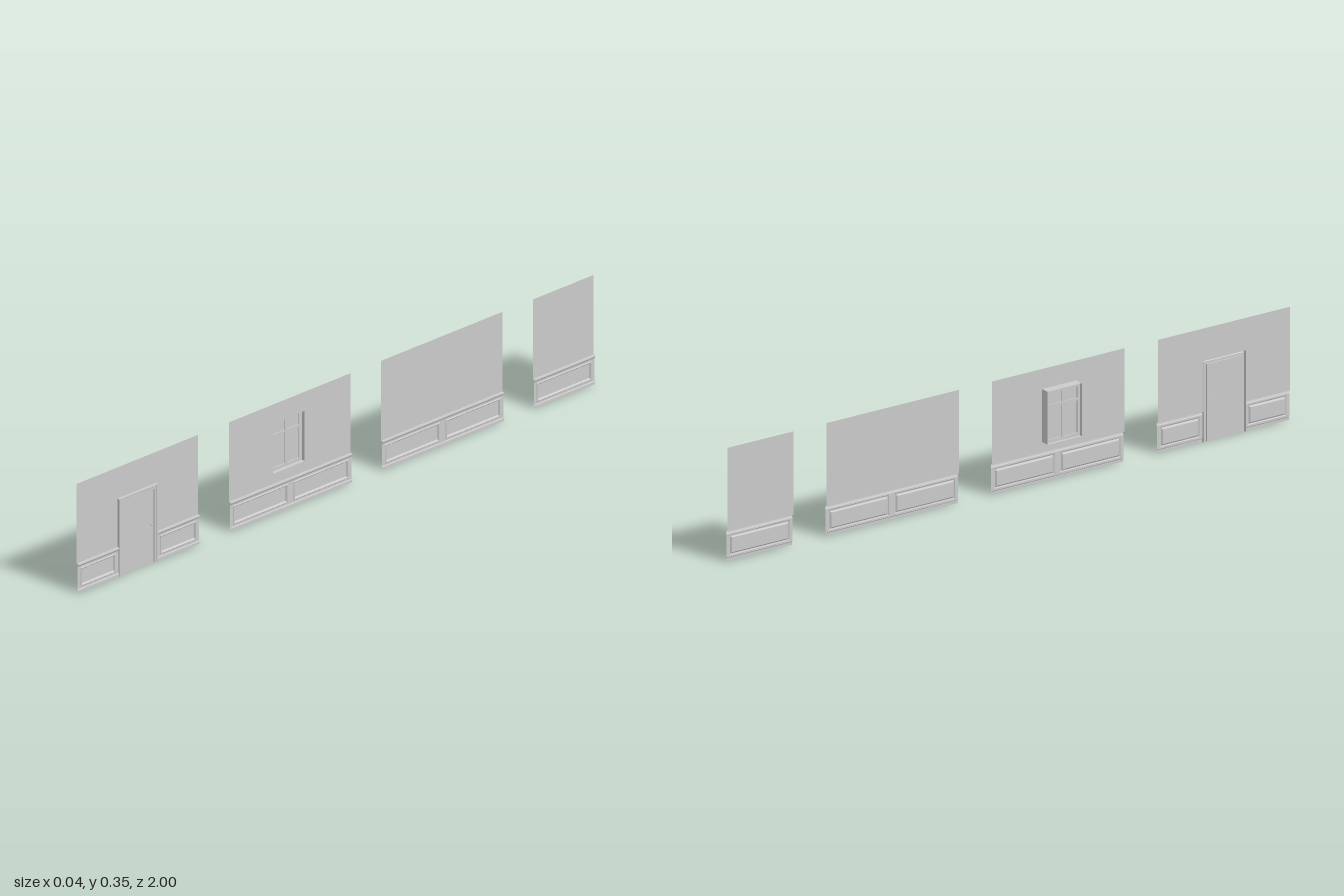
import * as THREE from 'three';

const mat = new THREE.MeshStandardMaterial({ color: 0xcccccc, side: THREE.DoubleSide, flatShading: true });
const WALL_X = 0.006, WALL_TOP = 0.353, DADO = 0.094, FACE_X = 0.0105;
const DOOR = [0.692, 0.842, 0, 0.252];
const WINDOW = [0.118, 0.24, 0.127, 0.291];

function add(parent, name, geometry, x = 0, y = 0, z = 0) {
  const mesh = new THREE.Mesh(geometry, mat);
  mesh.name = name;
  mesh.position.set(x, y, z);
  parent.add(mesh);
  return mesh;
}

// rectangles are [z0, z1, y0, y1]
function trace(path, [z0, z1, y0, y1]) {
  path.moveTo(-z1, y0);
  path.lineTo(-z0, y0);
  path.lineTo(-z0, y1);
  path.lineTo(-z1, y1);
  path.closePath();
  return path;
}

// flat sheet facing +x, with optional rectangular holes
function sheet(parent, name, rect, x, holes = []) {
  const shape = trace(new THREE.Shape(), rect);
  for (const h of holes) shape.holes.push(trace(new THREE.Path(), h));
  return add(parent, name, new THREE.ShapeGeometry(shape).rotateY(Math.PI / 2), x);
}

function quads(list) {
  const pos = [];
  for (const [a, b, c, d] of list) pos.push(...a, ...b, ...c, ...a, ...c, ...d);
  const g = new THREE.BufferGeometry();
  g.setAttribute('position', new THREE.Float32BufferAttribute(pos, 3));
  g.computeVertexNormals();
  return g;
}

// mitred moulding around a rectangle; steps are [inset, x]; three sides leave the bottom open
function moulding(parent, name, [z0, z1, y0, y1], steps, sides = 4) {
  const rings = steps.map(([i, x]) => {
    const yb = sides === 3 ? y0 : y0 + i;
    return [[x, yb, z0 + i], [x, y1 - i, z0 + i], [x, y1 - i, z1 - i], [x, yb, z1 - i]];
  });
  const list = [];
  for (let r = 0; r + 1 < rings.length; r++) {
    for (let s = 0; s < sides; s++) {
      const t = (s + 1) % 4;
      list.push([rings[r][s], rings[r][t], rings[r + 1][t], rings[r + 1][s]]);
    }
  }
  return add(parent, name, quads(list));
}

// straight strip along z from an [x, y] profile running top to bottom
function strip(parent, name, z0, z1, profile) {
  const list = [];
  for (let i = 0; i + 1 < profile.length; i++) {
    const [a, b] = [profile[i], profile[i + 1]];
    list.push([[...a, z1], [...b, z1], [...b, z0], [...a, z0]]);
  }
  return add(parent, name, quads(list));
}

// wainscot run: chair rail, face with panels, base
function wainscot(parent, z0, z1, count) {
  const g = new THREE.Group();
  g.name = 'wainscot';
  parent.add(g);
  strip(g, 'chairRail', z0, z1, [[WALL_X, DADO], [0.0125, DADO], [0.0135, 0.091], [0.0125, 0.087], [FACE_X, 0.084]]);
  strip(g, 'baseboard', z0, z1, [[FACE_X, 0.011], [0.0125, 0.009], [0.0125, 0]]);
  const pitch = (z1 - z0) / count, panels = [];
  for (let i = 0; i < count; i++) {
    const p = [z0 + i * pitch + 0.011, z0 + (i + 1) * pitch - 0.011, 0.017, 0.079];
    panels.push(p);
    moulding(g, 'panelMoulding', p, [[0, FACE_X], [0.002, 0.0125], [0.004, 0.0125], [0.008, 0.008], [0.011, 0.008]]);
    sheet(g, 'panel', [p[0] + 0.011, p[1] - 0.011, p[2] + 0.011, p[3] - 0.011], 0.008);
  }
  sheet(g, 'wainscotFace', [z0, z1, 0.011, 0.084], FACE_X, panels);
}

function buildDoor(parent) {
  const g = new THREE.Group();
  g.name = 'door';
  parent.add(g);
  moulding(g, 'doorFrame', DOOR,
    [[0, WALL_X], [0, 0.0145], [0.004, 0.0145], [0.006, 0.012], [0.013, 0.012], [0.013, 0.008]], 3);
  sheet(g, 'doorLeaf', [DOOR[0] + 0.013, DOOR[1] - 0.013, 0, DOOR[3] - 0.013], 0.008);
  const neck = new THREE.CylinderGeometry(0.0015, 0.0015, 0.01, 10).rotateZ(Math.PI / 2);
  add(g, 'knobNeck', neck, 0.0125, 0.129, 0.719);
  add(g, 'knob', new THREE.SphereGeometry(0.003, 12, 8), 0.0175, 0.129, 0.719);
}

function buildWindow(parent) {
  const g = new THREE.Group();
  g.name = 'window';
  parent.add(g);
  const [z0, z1, y0, y1] = WINDOW, sx = -0.01, d = 0.007, w = 0.01;
  const zc = (z0 + z1) / 2, yc = (y0 + y1) / 2, H = y1 - y0, W = z1 - z0;
  moulding(g, 'windowReveal', WINDOW, [[0, WALL_X], [0, -0.022]]);
  for (const s of [-1, 1]) {
    add(g, 'sashStile', new THREE.BoxGeometry(d, H, w), sx, yc, zc + s * (W - w) / 2);
    add(g, 'sashRail', new THREE.BoxGeometry(d, w, W - 2 * w), sx, yc + s * (H - w) / 2, zc);
  }
  add(g, 'mullion', new THREE.BoxGeometry(d, H - 2 * w, w), sx, yc, zc);
  add(g, 'transom', new THREE.BoxGeometry(d, w * 0.8, W - 2 * w), sx, y0 + H * 0.7, zc);
  sheet(g, 'glass', [z0 + w, z1 - w, y0 + w, y1 - w], sx);
}

export function createModel() {
  const model = new THREE.Group();
  model.name = 'wallSections';
  const section = (name) => {
    const g = new THREE.Group();
    g.name = name;
    model.add(g);
    return g;
  };

  // wall with door
  const doorWall = section('doorWall');
  for (const [a, b] of [[0.53, DOOR[0]], [DOOR[1], 1]]) {
    sheet(doorWall, 'wallSide', [a, b, DADO, WALL_TOP], WALL_X);
    wainscot(doorWall, a, b, 1);
  }
  sheet(doorWall, 'wallOverDoor', [DOOR[0], DOOR[1], DOOR[3], WALL_TOP], WALL_X);
  buildDoor(doorWall);

  // wall with window
  const windowWall = section('windowWall');
  sheet(windowWall, 'wall', [-0.059, 0.411, DADO, WALL_TOP], WALL_X, [WINDOW]);
  wainscot(windowWall, -0.059, 0.411, 2);
  buildWindow(windowWall);

  // plain walls, full and half width
  for (const [name, a, b, n] of [['plainWall', -0.647, -0.177, 2], ['halfWall', -1, -0.765, 1]]) {
    const g = section(name);
    sheet(g, 'wall', [a, b, DADO, WALL_TOP], WALL_X);
    wainscot(g, a, b, n);
  }
  return model;
}
